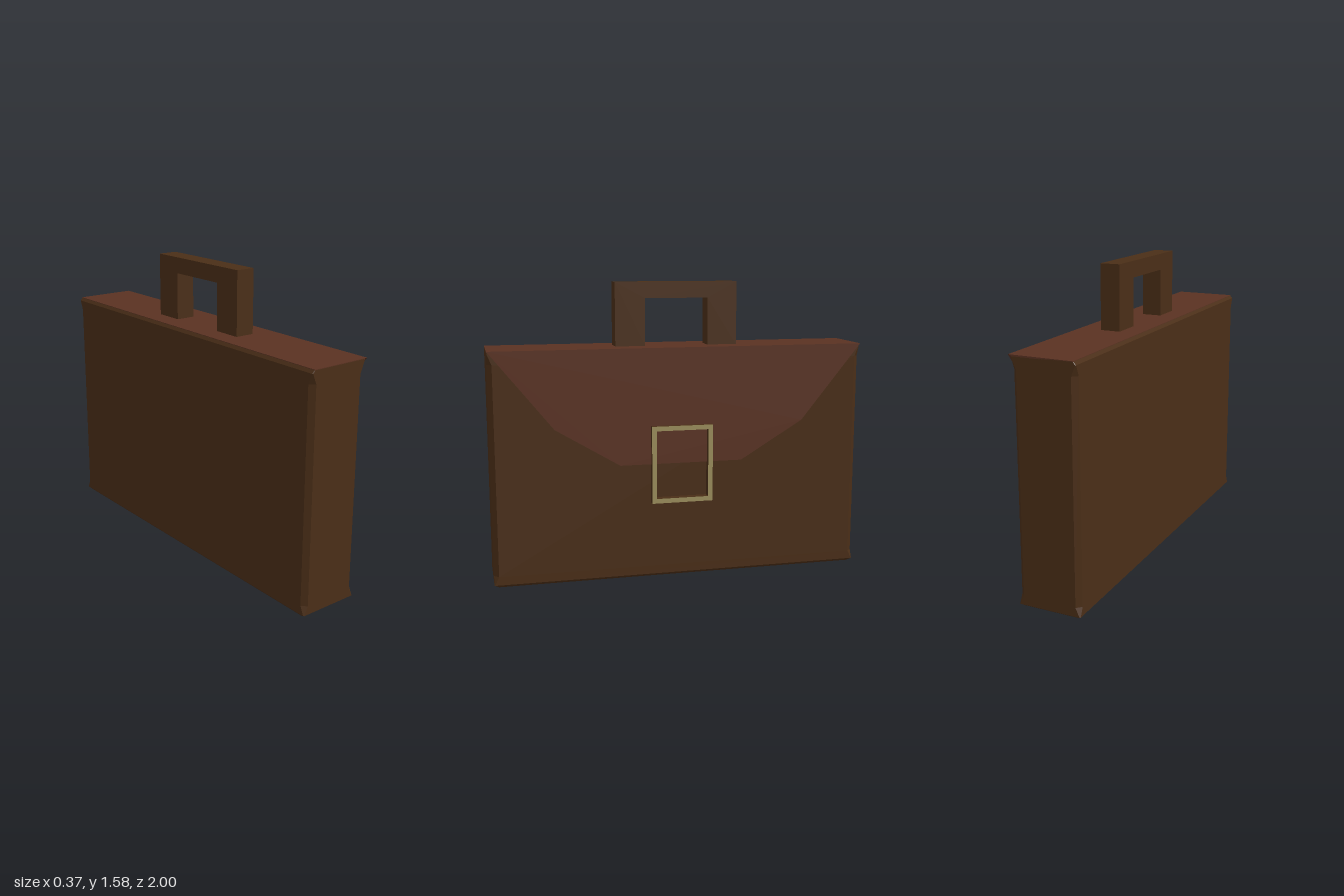
import * as THREE from 'three';

const paint = (color) => new THREE.MeshStandardMaterial({ color, flatShading: true });

// Octagonal ring: a rectangle x0..x1, -z..z with corners cut by c, counter-clockwise from above
function ring(y, x0, x1, z, c) {
  return [
    [x1, y, z - c], [x1, y, -z + c], [x1 - c, y, -z], [x0 + c, y, -z],
    [x0, y, -z + c], [x0, y, z - c], [x0 + c, y, z], [x1 - c, y, z],
  ];
}

// Skin a stack of rings from bottom to top and close both ends
function loft(rings) {
  const pos = [];
  const tri = (a, b, c) => pos.push(...a, ...b, ...c);
  const n = rings[0].length;
  for (let i = 0; i < rings.length - 1; i++) {
    for (let j = 0; j < n; j++) {
      const k = (j + 1) % n;
      const lo = rings[i], hi = rings[i + 1];
      tri(lo[j], lo[k], hi[k]);
      tri(lo[j], hi[k], hi[j]);
    }
  }
  const bottom = rings[0], top = rings[rings.length - 1];
  for (let j = 1; j < n - 1; j++) {
    tri(bottom[0], bottom[j + 1], bottom[j]);
    tri(top[0], top[j], top[j + 1]);
  }
  const g = new THREE.BufferGeometry();
  g.setAttribute('position', new THREE.Float32BufferAttribute(pos, 3));
  g.computeVertexNormals();
  return g;
}

// Extrude a side-on outline along +x, from x0 to x1
function slab(outline, x0, x1, hole) {
  const toPoints = (list) => list.map(([u, v]) => new THREE.Vector2(u, v));
  const shape = new THREE.Shape(toPoints(outline));
  if (hole) shape.holes.push(new THREE.Path(toPoints(hole)));
  const g = new THREE.ExtrudeGeometry(shape, { depth: x1 - x0, bevelEnabled: false });
  return g.rotateY(Math.PI / 2).translate(x0, 0, 0);
}

const rect = (w, y0, y1) => [[-w, y0], [w, y0], [w, y1], [-w, y1]];

export function createModel() {
  const group = new THREE.Group();
  const leather = paint(0x4a2e17);
  const flapLeather = paint(0x5a3222);
  const brass = paint(0x9c8e5c);

  const add = (name, geometry, material) => {
    const mesh = new THREE.Mesh(geometry, material);
    mesh.name = name;
    group.add(mesh);
  };

  // Case body: worn vertical edges that sharpen towards the corners
  add('body', loft([
    ring(0, -0.172, 0.132, 0.98, 0.004),
    ring(0.014, -0.185, 0.145, 1, 0.004),
    ring(0.06, -0.185, 0.145, 1, 0.025),
    ring(1.17, -0.185, 0.145, 1, 0.025),
    ring(1.223, -0.185, 0.145, 1, 0.003),
    ring(1.237, -0.172, 0.145, 1, 0.003),
  ]), leather);

  // Lid covering the top
  add('lid', new THREE.BoxGeometry(0.316, 0.008, 2).translate(-0.013, 1.236, 0), flapLeather);

  // Flap hanging over the buckle side
  add('flap', slab([
    [-1, 1.24], [-0.67, 0.83], [-0.33, 0.625],
    [0.33, 0.625], [0.67, 0.83], [1, 1.24],
  ], 0.144, 0.16), flapLeather);

  // Buckle frame: brass face with dark sides
  add('buckle', slab(rect(0.165, 0.415, 0.83), 0.144, 0.185, rect(0.14, 0.44, 0.805)), [brass, leather]);

  // Squared carrying handle
  add('handle', slab([
    [-0.33, 1.238], [-0.17, 1.238], [-0.17, 1.49], [0.17, 1.49],
    [0.17, 1.238], [0.33, 1.238], [0.33, 1.575], [-0.33, 1.575],
  ], -0.065, 0.04), leather);

  return group;
}
